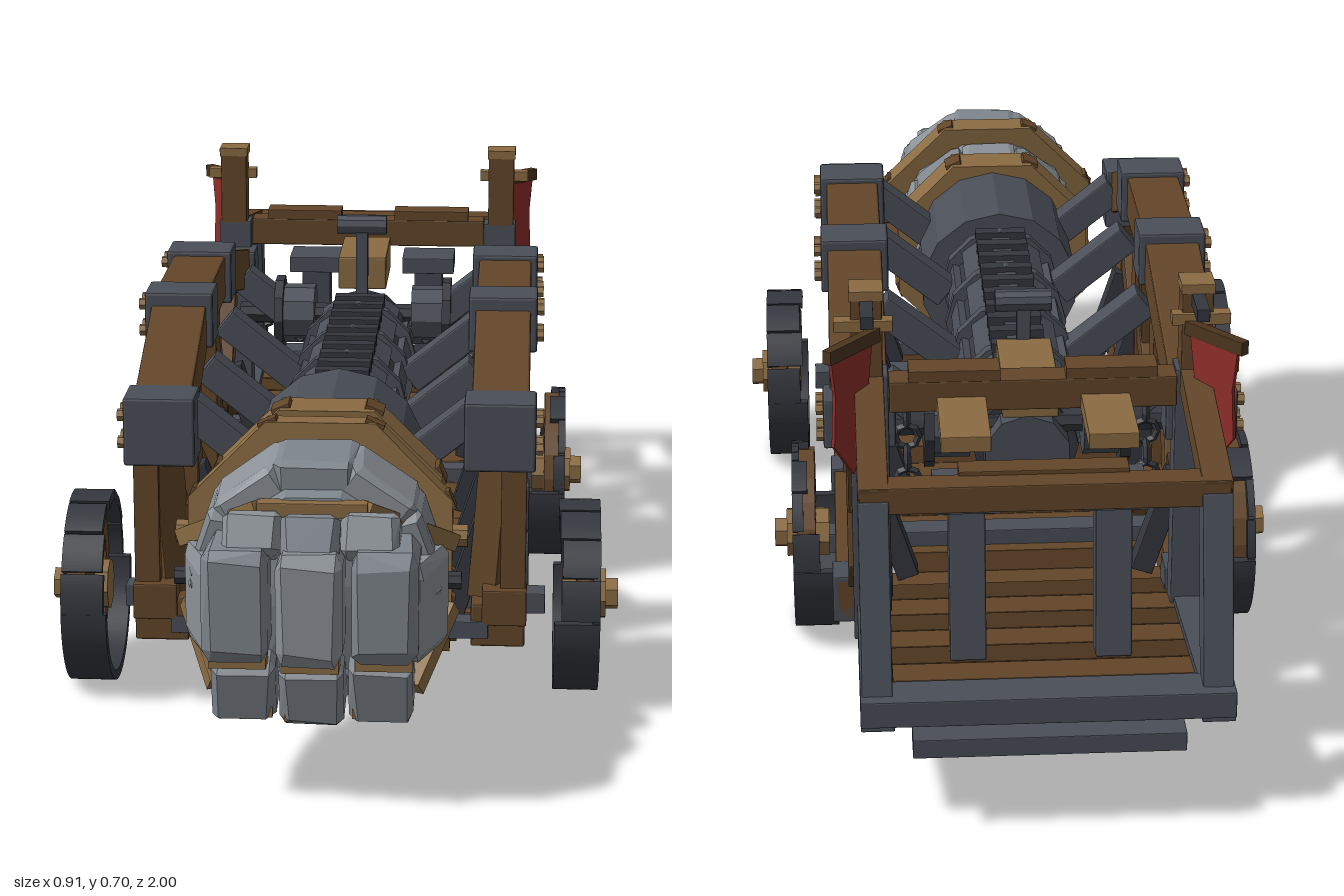
import * as THREE from 'three';
import { RoundedBoxGeometry } from 'three/addons/geometries/RoundedBoxGeometry.js';
import { ConvexGeometry } from 'three/addons/geometries/ConvexGeometry.js';

export function createModel() {
  const root = new THREE.Group();
  root.name = 'batteringRam';
  const paint = (name, color) => {
    const m = new THREE.MeshStandardMaterial({ color, flatShading: true });
    m.name = name;
    return m;
  };
  const wood = paint('brown wood', 0x634629), darkWood = paint('dark wood', 0x4b341d);
  const tan = paint('pale wood', 0x8b6c43), steel = paint('steel', 0x4a4f58);
  const iron = paint('dark iron', 0x34373e), stone = paint('stone', 0x7f868d);
  const paleStone = paint('pale stone', 0x8c9298), red = paint('red cloth', 0x8c2e29);
  red.side = THREE.DoubleSide;

  let seed = 7;
  const rand = () => (seed = (seed * 16807) % 2147483647) / 2147483647;
  const add = (name, geo, mat, x = 0, y = 0, z = 0, parent = root) => {
    const m = new THREE.Mesh(geo, mat);
    m.name = name;
    m.position.set(x, y, z);
    parent.add(m);
    return m;
  };
  const box = (name, mat, x, y, z, w, h, d, parent) =>
    add(name, new RoundedBoxGeometry(w, h, d, 1, Math.min(w, h, d) * 0.05), mat, x, y, z, parent);
  // Square beam between two points; w is sideways, h is the other thickness
  const beam = (name, mat, a, b, w, h) => {
    const p = new THREE.Vector3(...a), q = new THREE.Vector3(...b);
    const m = box(name, mat, 0, 0, 0, w, h, p.distanceTo(q));
    m.position.copy(p).lerp(q, 0.5);
    m.lookAt(q);
    return m;
  };
  // Round bar along an axis
  const rod = (name, mat, x, y, z, r, len, axis, sides = 8, parent = root) => {
    const g = new THREE.CylinderGeometry(r, r, len, sides);
    if (axis === 'x') g.rotateZ(Math.PI / 2);
    if (axis === 'z') g.rotateX(Math.PI / 2);
    return add(name, g, mat, x, y, z, parent);
  };
  // Chipped boulder: convex hull of a bevelled box with displaced corners
  const rock = (name, mat, x, y, z, w, h, d, parent = root) => {
    const pts = [];
    for (const i of [-1, 1]) for (const j of [-1, 1]) for (const k of [-1, 1])
      for (let e = 0; e < 3; e++) {
        const c = [i * w / 2, j * h / 2, k * d / 2].map((v, n) => v * (n === e ? 1 : 0.68 + rand() * 0.16));
        pts.push(new THREE.Vector3(...c));
      }
    return add(name, new ConvexGeometry(pts), mat, x, y, z, parent);
  };
  // Flat ring in the xy plane with a real depth
  const ring = (outer, inner, depth, sides) => {
    const s = new THREE.Shape(), hole = new THREE.Path();
    for (let i = 0; i < sides; i++) {
      const a = (i + 0.5) / sides * Math.PI * 2, f = i ? 'lineTo' : 'moveTo';
      s[f](Math.cos(a) * outer, Math.sin(a) * outer);
      hole[f](Math.cos(a) * inner, Math.sin(a) * inner);
    }
    s.holes.push(hole);
    return new THREE.ExtrudeGeometry(s, { depth, bevelEnabled: false }).translate(0, 0, -depth / 2);
  };
  // Part of a ring between two angles, from z0 to z1
  const arc = (outer, inner, a0, a1, z0, z1) => {
    const s = new THREE.Shape();
    s.absarc(0, 0, outer, a0, a1, false);
    s.absarc(0, 0, inner, a1, a0, true);
    return new THREE.ExtrudeGeometry(s, { depth: z1 - z0, bevelEnabled: false, curveSegments: 6 }).translate(0, 0, z0);
  };

  // Wheels: worn iron tyre, wooden felloe, spokes, disc and hub
  const wheel = (s, x, z, wear) => {
    const g = new THREE.Group();
    g.name = 'wheel';
    g.position.set(s * x, 0.156, z);
    g.rotation.y = s * Math.PI / 2;
    root.add(g);
    for (let i = 0; i < 14; i++) {
      const a0 = i / 14 * Math.PI * 2, lower = i >= 7;
      const z0 = lower ? -0.036 : -0.036 + 0.06 * Math.min(1, wear * (0.5 + rand()));
      const r = lower ? 0.156 : 0.15 + rand() * 0.006;
      add('tyrePlate', arc(r, 0.14, a0, a0 + Math.PI / 7 - (lower ? 0 : 0.03), z0, 0.036), iron, 0, 0, 0, g);
    }
    add('felloe', ring(0.141, 0.108, 0.03, 20), wood, 0, 0, 0.014, g);
    add('wheelDisc', new THREE.CircleGeometry(0.115, 20), darkWood, 0, 0, 0.004, g);
    for (let i = 0; i < 12; i++) {
      const a = i / 12 * Math.PI * 2;
      const sp = box('spoke', wood, Math.cos(a) * 0.07, Math.sin(a) * 0.07, 0.012, 0.09, 0.021, 0.026, g);
      sp.rotation.z = a;
      const clip = box('tyreClip', iron, Math.cos(a) * 0.138, Math.sin(a) * 0.138, 0.03, 0.026, 0.022, 0.012, g);
      clip.rotation.z = a;
    }
    rod('hub', tan, 0, 0, 0.012, 0.042, 0.07, 'z', 8, g);
    rod('hubCap', tan, 0, 0, 0.042, 0.026, 0.05, 'z', 6, g);
  };
  for (const s of [-1, 1]) { wheel(s, 0.39, 0.4, 0.15); wheel(s, 0.34, -0.29, 0.85); }
  for (const z of [0.4, -0.29]) box('axle', steel, 0, 0.143, z, 0.68, 0.034, 0.045);

  // Trussed side frames
  const top = [[0.51, 0.457], [0.22, 0.565], [-0.09, 0.565], [-0.53, 0.47]];
  for (const s of [-1, 1]) {
    const x = s * 0.265;
    for (let i = 0; i < 3; i++)
      beam('topBeam', wood, [x, top[i][1], top[i][0]], [x, top[i + 1][1], top[i + 1][0]], 0.09, 0.075);
    top.forEach(([z, y], i) => {
      const last = i === 3;
      box('jointCap', steel, x, y, z, 0.112, last ? 0.08 : i ? 0.092 : 0.11, last ? 0.07 : 0.085);
      for (const dy of [-0.022, 0.022]) for (const dz of [-0.02, 0.02])
        rod('bolt', tan, s * 0.324, y + dy, z + dz, 0.01, 0.016, 'x', 6);
    });
    box('bottomBeam', wood, x, 0.15, 0.01, 0.085, 0.07, 1.08);
    for (const z of [0.22, -0.09, -0.5]) box('bottomBracket', steel, x, 0.15, z, 0.096, 0.08, 0.06);
    box('frontBlock', wood, s * 0.275, 0.18, 0.53, 0.07, 0.058, 0.05);
    box('frontPost', wood, s * 0.288, 0.3, 0.51, 0.04, 0.24, 0.06);
    beam('frontBrace', wood, [s * 0.262, 0.42, 0.51], [s * 0.245, 0.18, 0.5], 0.03, 0.05);
    for (const z of [0.22, -0.09]) box('sidePost', wood, x, 0.35, z, 0.055, 0.4, 0.065);
    beam('diagonal', wood, [x, 0.36, 0.5], [x, 0.19, 0.24], 0.045, 0.05);
    beam('diagonal', darkWood, [x, 0.5, 0.2], [x, 0.19, 0.12], 0.04, 0.045);
    beam('diagonal', wood, [x, 0.32, 0.2], [x, 0.17, -0.07], 0.045, 0.05);
    beam('diagonal', wood, [x, 0.52, -0.1], [x, 0.18, -0.3], 0.045, 0.055);
    beam('diagonal', darkWood, [x, 0.27, -0.3], [x, 0.2, -0.55], 0.045, 0.045);
    beam('diagonal', wood, [x, 0.43, -0.5], [x, 0.17, -0.36], 0.04, 0.045);
    // Struts that carry the ram inside the frame
    for (const z of [0.48, 0.22, -0.09, -0.42]) {
      beam('hanger', steel, [s * 0.225, 0.48, z], [s * 0.1, 0.38, z], 0.05, 0.05);
      beam('lowerStrut', iron, [s * 0.245, 0.31, z], [s * 0.19, 0.14, z], 0.04, 0.035);
    }

    // Tall rear post with peg and slanting cloth
    box('rearPost', steel, s * 0.25, 0.335, -0.565, 0.06, 0.45, 0.05);
    box('mast', wood, s * 0.252, 0.6, -0.565, 0.048, 0.18, 0.05);
    box('mastCap', tan, s * 0.252, 0.692, -0.565, 0.052, 0.016, 0.054);
    box('peg', tan, s * 0.257, 0.645, -0.585, 0.09, 0.018, 0.024);
    box('mastHook', iron, s * 0.252, 0.675, -0.62, 0.02, 0.02, 0.075);
    beam('clothBar', darkWood, [s * 0.237, 0.632, -0.592], [s * 0.313, 0.63, -0.68], 0.016, 0.022);
    const cloth = new THREE.Shape();
    [[0, 0.64], [0.1, 0.635], [0.09, 0.56], [0.095, 0.48], [0.05, 0.42], [0.03, 0.46], [0.002, 0.48], [0.012, 0.56]]
      .forEach(([u, v], i) => cloth[i ? 'lineTo' : 'moveTo'](u, v));
    const flag = add('cloth', new THREE.ExtrudeGeometry(cloth, { depth: 0.006, bevelEnabled: false }), red, s * 0.242, 0, -0.6);
    flag.rotation.y = s > 0 ? 0.86 : Math.PI - 0.86;

    // Rear platform sides and railing
    beam('platformBeam', steel, [s * 0.25, 0.13, -0.44], [s * 0.25, 0.185, -0.97], 0.05, 0.05);
    beam('sideRail', wood, [s * 0.25, 0.545, -0.56], [s * 0.25, 0.49, -0.885], 0.045, 0.04);
    beam('railPost', steel, [s * 0.25, 0.485, -0.865], [s * 0.25, 0.2, -0.935], 0.045, 0.05);
    beam('innerPost', steel, [s * 0.11, 0.43, -0.75], [s * 0.11, 0.18, -0.78], 0.055, 0.05);
    box('seatFrame', steel, s * 0.11, 0.44, -0.75, 0.1, 0.03, 0.1);
    box('seatPlate', tan, s * 0.11, 0.522, -0.69, 0.075, 0.025, 0.15);
    box('blockTop', wood, s * 0.12, 0.568, -0.59, 0.14, 0.018, 0.05);
    rod('winchDrum', steel, s * 0.12, 0.41, -0.43, 0.055, 0.06, 'x', 10);
    rod('winchFlange', iron, s * 0.155, 0.41, -0.43, 0.07, 0.016, 'x', 10);
    for (let i = 0; i < 5; i++) {
      const link = add('chainLink', new THREE.TorusGeometry(0.019, 0.006, 4, 8), iron, s * 0.19, 0.43 - i * 0.032, -0.44 - i * 0.012);
      link.rotation.y = i % 2 ? 0 : Math.PI / 2;
    }
  }
  box('rearRail', wood, 0, 0.49, -0.865, 0.54, 0.042, 0.045);
  box('innerRail', wood, 0, 0.5, -0.83, 0.25, 0.035, 0.04);
  box('crossBeam', wood, 0, 0.535, -0.59, 0.44, 0.05, 0.05);
  box('rearSill', steel, 0, 0.19, -0.945, 0.55, 0.042, 0.065);
  box('rearStep', steel, 0, 0.145, -0.972, 0.4, 0.03, 0.056);
  box('frontSill', steel, 0, 0.143, 0.535, 0.5, 0.028, 0.04);
  box('frontLip', wood, 0, 0.118, 0.535, 0.38, 0.025, 0.03);

  // Floor planks
  for (let i = 0; i < 14; i++)
    box('floorPlank', i % 3 ? wood : darkWood, 0, 0.122, 0.48 - i * 0.071, i % 2 ? 0.45 : 0.4, 0.024, 0.07);
  for (let i = 0; i < 7; i++) {
    const p = box('rearPlank', i % 2 ? wood : darkWood, 0, 0.14 + i * 0.0068, -0.51 - i * 0.066, 0.46, 0.022, 0.064);
    p.rotation.x = 0.1;
  }

  // Ram shaft with armour strips and hoops
  const Y = 0.37;
  rod('ramShaft', iron, 0, Y, -0.04, 0.085, 0.8, 'z', 12);
  for (let i = 0; i < 10; i++) {
    const a = (i + 0.5) / 10 * Math.PI * 2;
    const strip = box('armourStrip', steel, Math.cos(a) * 0.085, Y + Math.sin(a) * 0.085, -0.02, 0.022, 0.034, 0.68);
    strip.rotation.z = a;
  }
  for (let i = 0; i < 11; i++) {
    const z = 0.27 - i * 0.058;
    if (i % 3 === 0) rod('hoop', steel, 0, Y, z, 0.106, 0.022, 'z', 12);
    box('spineRib', iron, 0, Y + 0.095, z, 0.09, 0.02, 0.026);
  }
  rod('ramCollar', steel, 0, 0.355, 0.41, 0.142, 0.23, 'z', 14);
  rod('ramTail', steel, 0, Y, -0.45, 0.07, 0.06, 'z', 10);
  rod('winchAxle', iron, 0, 0.41, -0.43, 0.02, 0.46, 'x');
  box('tailBlock', tan, 0, 0.5, -0.465, 0.088, 0.06, 0.18);
  box('leverStem', steel, 0, 0.53, -0.37, 0.022, 0.13, 0.022);
  rod('leverHandle', steel, 0, 0.593, -0.37, 0.018, 0.09, 'x', 10);

  // Stone fist on the ram head
  const fist = new THREE.Group();
  fist.name = 'stoneFist';
  fist.position.set(0, 0.33, 0);
  root.add(fist);
  const profile = [[0, 0.5], [0.145, 0.5], [0.15, 0.62], [0.175, 0.7], [0.175, 0.8], [0.14, 0.9], [0, 0.93]];
  const palm = new THREE.LatheGeometry(profile.map(([r, z]) => new THREE.Vector2(r, z)), 11).rotateX(Math.PI / 2);
  add('palm', palm, stone, 0, 0, 0, fist);
  for (let i = 0; i < 10; i++) {
    const a = (i + 0.5) / 10 * Math.PI * 2;
    const r = rock('palmStone', i % 2 ? paleStone : stone, Math.cos(a) * 0.15, Math.sin(a) * 0.15, 0.81, 0.06, 0.12, 0.14, fist);
    r.rotation.z = a;
    const w = rock('wristStone', i % 2 ? stone : paleStone, Math.cos(a) * 0.145, Math.sin(a) * 0.145, 0.65, 0.05, 0.1, 0.09, fist);
    w.rotation.z = a;
  }
  for (let i = -1; i <= 1; i++) {
    const back = i ? 0.015 : 0;
    rock('upperFinger', i ? stone : paleStone, i * 0.108, -0.008, 0.935 - back, 0.096, 0.17, 0.13, fist);
    const low = rock('lowerFinger', stone, i * 0.1, -0.14, 0.89 - back, 0.094, 0.1, 0.13, fist);
    low.rotation.x = 0.25;
    const k = rock('knuckle', i ? paleStone : stone, i * 0.085, 0.07, 0.905 - back, 0.085, 0.065, 0.13, fist);
    k.rotation.x = -0.45;
    box('fingerStrap', tan, i * 0.106, -0.098, 0.955 - back, 0.084, 0.018, 0.04, fist);
    box('fingerStrap', tan, i * 0.098, -0.186, 0.92 - back, 0.08, 0.016, 0.04, fist);
  }
  for (const s of [-1, 1]) {
    const side = rock('fistSide', paleStone, s * 0.15, -0.03, 0.87, 0.06, 0.15, 0.12, fist);
    side.rotation.y = s * -0.35;
    // Straps from the band over the hand and under the palm
    beam('handStrap', tan, [s * 0.2, 0.37, 0.8], [s * 0.075, 0.45, 0.905], 0.026, 0.026);
    beam('palmStrap', tan, [s * 0.195, 0.26, 0.77], [s * 0.145, 0.165, 0.87], 0.026, 0.026);
  }
  box('handStrapTop', tan, 0, 0.12, 0.905, 0.16, 0.022, 0.024, fist);

  // Wooden bands with pegs round the fist
  for (const [z, ro, ri, d, tilt] of [[0.73, 0.214, 0.172, 0.05, -0.08], [0.56, 0.192, 0.135, 0.075, 0]]) {
    const b = add('fistBand', ring(ro, ri, d, 8), tan, 0, 0.002, z, fist);
    b.rotation.x = tilt;
    for (let i = 0; i < 8; i++) {
      const a = (i + 0.5) / 8 * Math.PI * 2;
      const peg = box('bandPeg', wood, Math.cos(a) * ro * 0.95, Math.sin(a) * ro * 0.95, 0, 0.022, 0.03, d * 0.6, b);
      peg.rotation.z = a;
    }
  }
  for (const s of [-1, 1]) {
    rod('bandKnob', tan, s * 0.205, 0.02, 0.71, 0.018, 0.03, 'x', 8, fist);
    rod('palmKnob', iron, s * 0.193, -0.02, 0.8, 0.014, 0.04, 'x', 8, fist);
  }
  return root;
}
